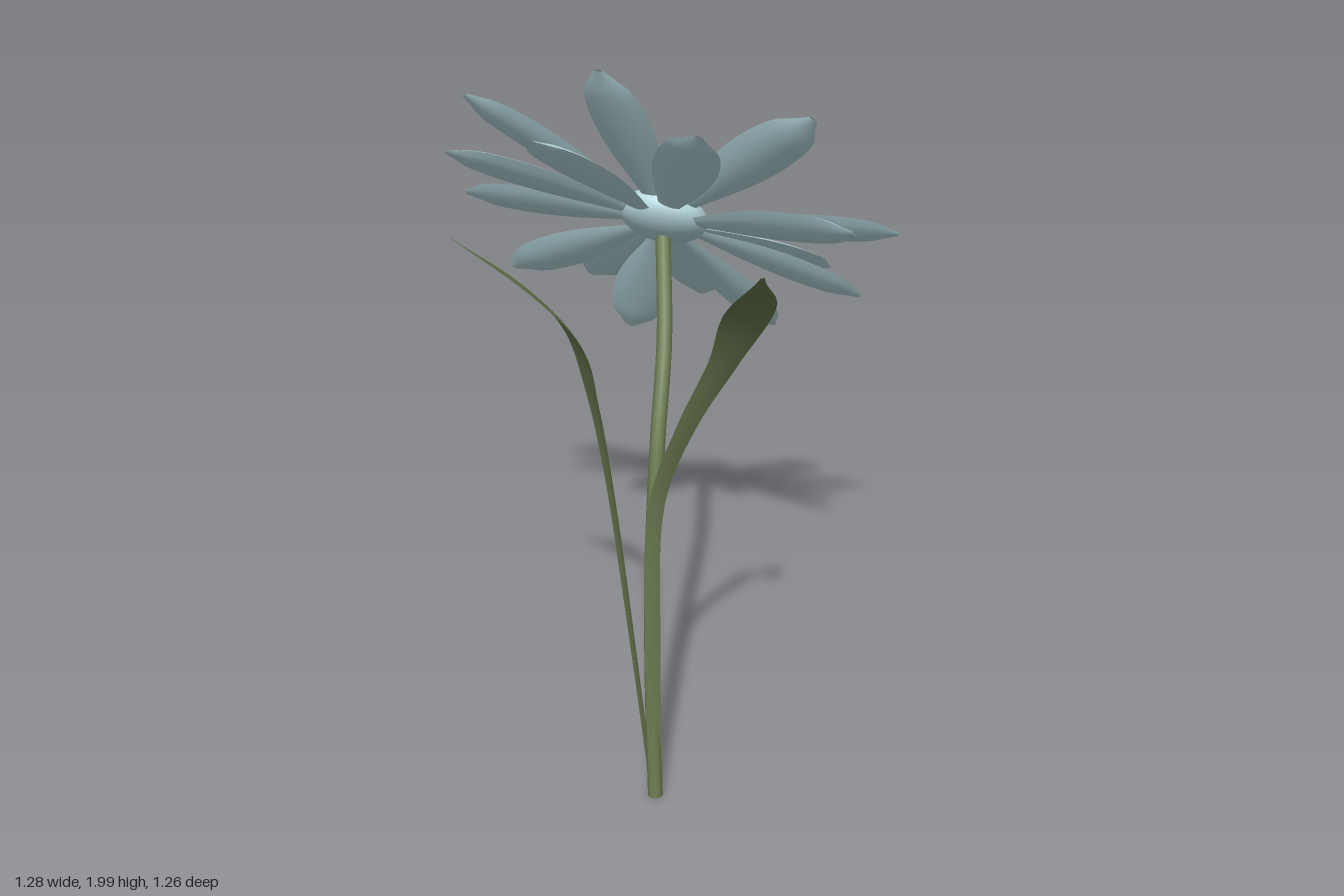
import * as THREE from 'three';
import { mergeGeometries } from 'three/addons/utils/BufferGeometryUtils.js';

const V = (x, y, z) => new THREE.Vector3(x, y, z);
const petalMat = new THREE.MeshStandardMaterial({ color: 0xb9dbe1, side: THREE.DoubleSide });
const leafMat = new THREE.MeshStandardMaterial({ color: 0x6a7a50, side: THREE.DoubleSide });

const HEAD = V(0.13, 1.535, -0.077);
const FACING = V(0.7, 0.69, -0.19).normalize();

// Smooth interpolation of evenly spaced values
function sample(values, t) {
  const c = new THREE.SplineCurve(values.map((v, i) => new THREE.Vector2(i, v)));
  return Math.max(c.getPoint(t).y, 0.002);
}

// Blade swept along a curve: half width from a list, cross-section bulged by camber
function blade(curve, widths, sideAt, camber, segs) {
  const geo = new THREE.PlaneGeometry(2, 1, 6, segs);
  const pos = geo.attributes.position;
  for (let i = 0; i < pos.count; i++) {
    const u = pos.getX(i), t = pos.getY(i) + 0.5;
    const tangent = curve.getTangent(t);
    const side = sideAt(t).clone();
    side.addScaledVector(tangent, -side.dot(tangent)).normalize();
    const normal = side.clone().cross(tangent);
    const w = sample(widths, t);
    const p = curve.getPoint(t).addScaledVector(side, u * w).addScaledVector(normal, (1 - u * u) * w * camber);
    pos.setXYZ(i, p.x, p.y, p.z);
  }
  geo.computeVertexNormals();
  return geo;
}

function add(group, name, geo, mat) {
  const mesh = new THREE.Mesh(geo, mat);
  mesh.name = name;
  group.add(mesh);
  return mesh;
}

export function createModel() {
  const model = new THREE.Group();
  model.name = 'flower';

  // Stem
  const stem = new THREE.CatmullRomCurve3([
    V(-0.285, 0.01, 0.225), V(-0.255, 0.4, 0.19), V(-0.215, 0.75, 0.16),
    V(-0.15, 1.05, 0.125), V(-0.04, 1.28, 0.06), V(0.1, 1.49, -0.055),
  ]);
  add(model, 'stem', new THREE.TubeGeometry(stem, 32, 0.021, 10), leafMat);

  // Two long leaves rising from the foot of the stem, set at right angles to each other
  const frontLeaf = new THREE.CatmullRomCurve3([
    V(-0.287, 0.01, 0.23), V(-0.273, 0.5, 0.207), V(-0.267, 0.95, 0.215), V(-0.258, 1.2, 0.3),
    V(-0.25, 1.4, 0.4), V(-0.3, 1.57, 0.5), V(-0.44, 1.73, 0.625),
  ]);
  add(model, 'frontLeaf', blade(frontLeaf, [0.02, 0.022, 0.022, 0.027, 0.041, 0.06, 0.004],
    () => V(0.8, -0.1, 0.5), 0.08, 36), leafMat);
  const sideLeaf = new THREE.CatmullRomCurve3([
    V(-0.285, 0.01, 0.215), V(-0.262, 0.5, 0.125), V(-0.258, 0.95, 0.052), V(-0.315, 1.22, 0.05),
    V(-0.41, 1.43, 0.073), V(-0.51, 1.57, 0.027), V(-0.64, 1.71, -0.065),
  ]);
  add(model, 'sideLeaf', blade(sideLeaf, [0.016, 0.022, 0.028, 0.04, 0.058, 0.05, 0.004],
    () => V(0.45, 0, -0.9), 0.08, 36), leafMat);

  // Domed flower centre
  const disc = add(model, 'flowerCentre', new THREE.SphereGeometry(1, 28, 18), petalMat);
  disc.scale.set(0.119, 0.06, 0.119);
  disc.quaternion.setFromUnitVectors(V(0, 1, 0), V(0.61, 0.76, -0.21).normalize());
  disc.position.copy(HEAD);

  // Petals, each given by its tip, in order round the head
  const tips = [
    [-0.21, 2.0, 0.0], [-0.36, 1.855, -0.08], [-0.24, 1.88, -0.41], [-0.285, 1.74, -0.44],
    [-0.05, 1.53, -0.625], [0.08, 1.28, -0.585], [0.325, 1.2, -0.505], [0.33, 1.07, -0.36],
    [0.505, 1.15, -0.23], [0.505, 1.12, 0.03], [0.635, 1.28, 0.125], [0.475, 1.3, 0.33],
    [0.445, 1.515, 0.445], [0.16, 1.61, 0.48], [0.06, 1.9, 0.41], [-0.16, 1.88, 0.25],
  ];
  const petalWidths = [0.016, 0.03, 0.048, 0.064, 0.075, 0.079, 0.075, 0.06, 0.012];
  const petals = new THREE.Group();
  petals.name = 'petals';
  model.add(petals);
  const root = HEAD.clone().addScaledVector(FACING, -0.015);
  tips.forEach(tip => {
    const end = V(...tip);
    const out = end.clone().sub(root);
    const side = out.clone().cross(FACING).normalize();
    const start = root.clone().addScaledVector(out, 0.1);
    const mid = root.clone().addScaledVector(out, 0.55).addScaledVector(FACING, 0.012);
    const curve = new THREE.QuadraticBezierCurve3(start, mid, end);
    // slim lens section: a bulged upper face and a flatter lower one
    const faces = [[side, 0.26], [side.clone().negate(), 0.2]]
      .map(([s, camber]) => blade(curve, petalWidths, () => s, camber, 18));
    add(petals, 'petal', mergeGeometries(faces), petalMat);
  });
  return model;
}
